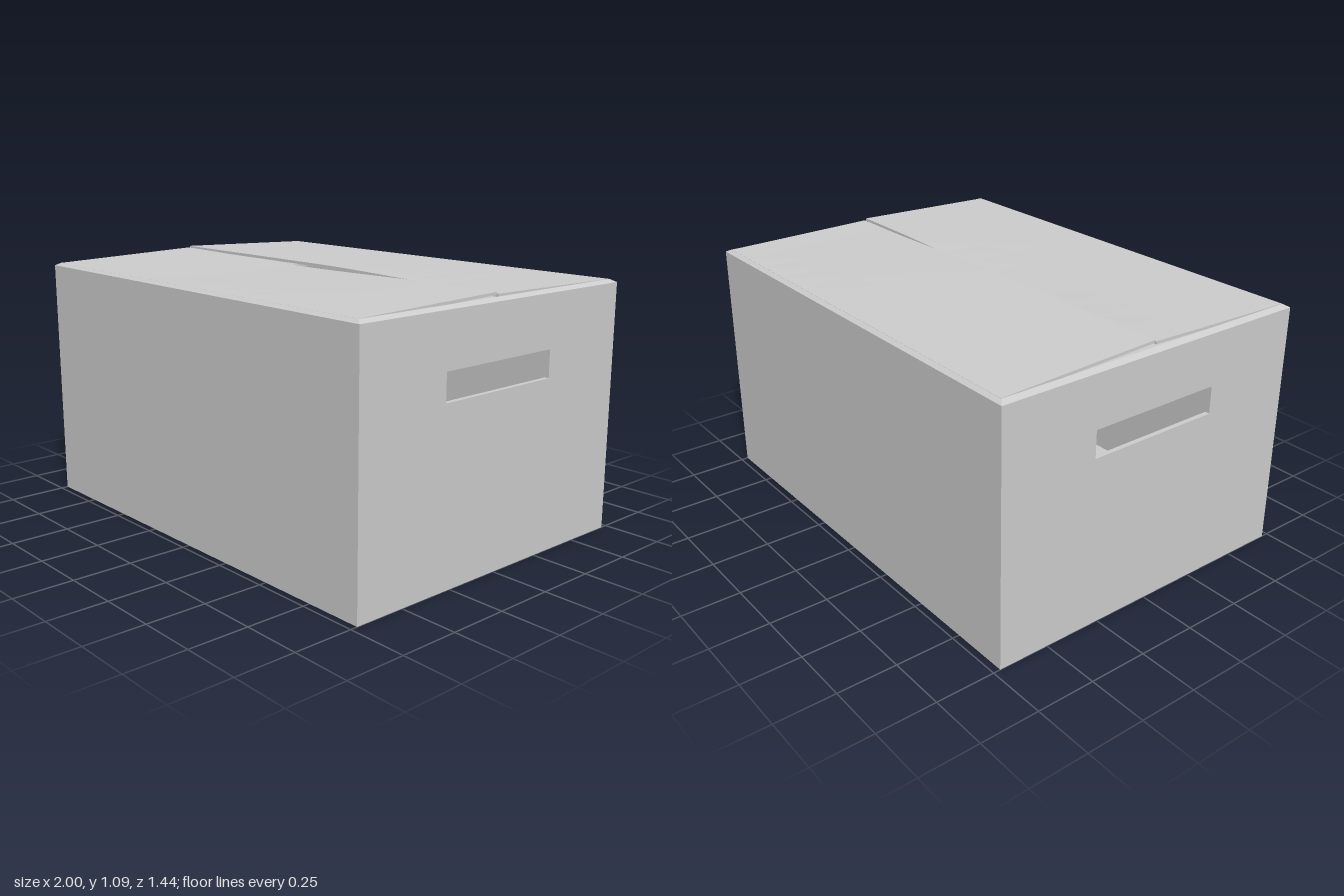
import * as THREE from 'three';

const W = 1, D = 0.72, H = 1.055, T = 0.02;
const HINGE = 1.067, CARD = 0.012;

export function createModel() {
  const box = new THREE.Group();
  box.name = 'cardboardBox';
  const mat = new THREE.MeshStandardMaterial({ color: 0xcccccc, flatShading: true, side: THREE.DoubleSide });

  const add = (name, geometry, x = 0, y = 0, z = 0) => {
    const mesh = new THREE.Mesh(geometry, mat);
    mesh.name = name;
    mesh.position.set(x, y, z);
    box.add(mesh);
    return mesh;
  };

  // End walls with a rectangular hand hole
  const endShape = new THREE.Shape([[-D, 0], [D, 0], [D, H], [-D, H]].map(p => new THREE.Vector2(...p)));
  endShape.holes.push(new THREE.Path([[-0.295, 0.72], [-0.295, 0.835], [0.295, 0.835], [0.295, 0.72]]
    .map(p => new THREE.Vector2(...p))));
  const endGeo = new THREE.ExtrudeGeometry(endShape, { depth: T, bevelEnabled: false });
  endGeo.rotateY(Math.PI / 2);
  add('leftWall', endGeo, W - T);
  add('rightWall', endGeo, -W);

  // Long walls and bottom
  const longGeo = new THREE.BoxGeometry(2 * (W - T), H, T);
  add('frontWall', longGeo, 0, H / 2, D - T / 2);
  add('backWall', longGeo, 0, H / 2, -D + T / 2);
  add('bottom', new THREE.BoxGeometry(2 * (W - T), T, 2 * (D - T)), 0, T / 2, 0);

  // Sloped crease where the walls fold into the flaps
  const profile = [[1, H], [0.975, HINGE], [0.975, H - 0.005]]
    .map(([r, y]) => new THREE.Vector2(r * Math.SQRT2, y));
  const crease = new THREE.LatheGeometry(profile, 4, Math.PI / 4);
  crease.scale(W, 1, D);
  add('foldCrease', crease);

  // Short inner flaps, which leave a gap in the middle
  for (const [name, s] of [['leftInnerFlap', 1], ['rightInnerFlap', -1]]) {
    add(name, new THREE.BoxGeometry(0.7, CARD, 1.39), s * 0.62, 1.053, 0);
  }

  // Long outer flaps, slightly raised and warped along the free edge
  const outerFlap = (name, side, edgeHeight) => {
    const length = 0.697, gap = 0.004;
    const geo = new THREE.BoxGeometry(1.945, CARD, length, 12, 1, 3);
    const p = geo.attributes.position;
    for (let i = 0; i < p.count; i++) {
      const t = 0.5 - side * p.getZ(i) / length;
      const lift = t * (edgeHeight(p.getX(i)) - HINGE);
      p.setY(i, p.getY(i) + HINGE - CARD / 2 + lift);
    }
    geo.computeVertexNormals();
    add(name, geo, 0, 0, side * (gap + length / 2));
  };
  const ease = THREE.MathUtils.smoothstep;
  outerFlap('backFlap', -1, x => 1.092 - 0.015 * ease(x, 0, 0.8));
  outerFlap('frontFlap', 1, x => 1.074 + 0.011 * ease(Math.abs(x + 0.1), 0, 0.87));

  return box;
}
